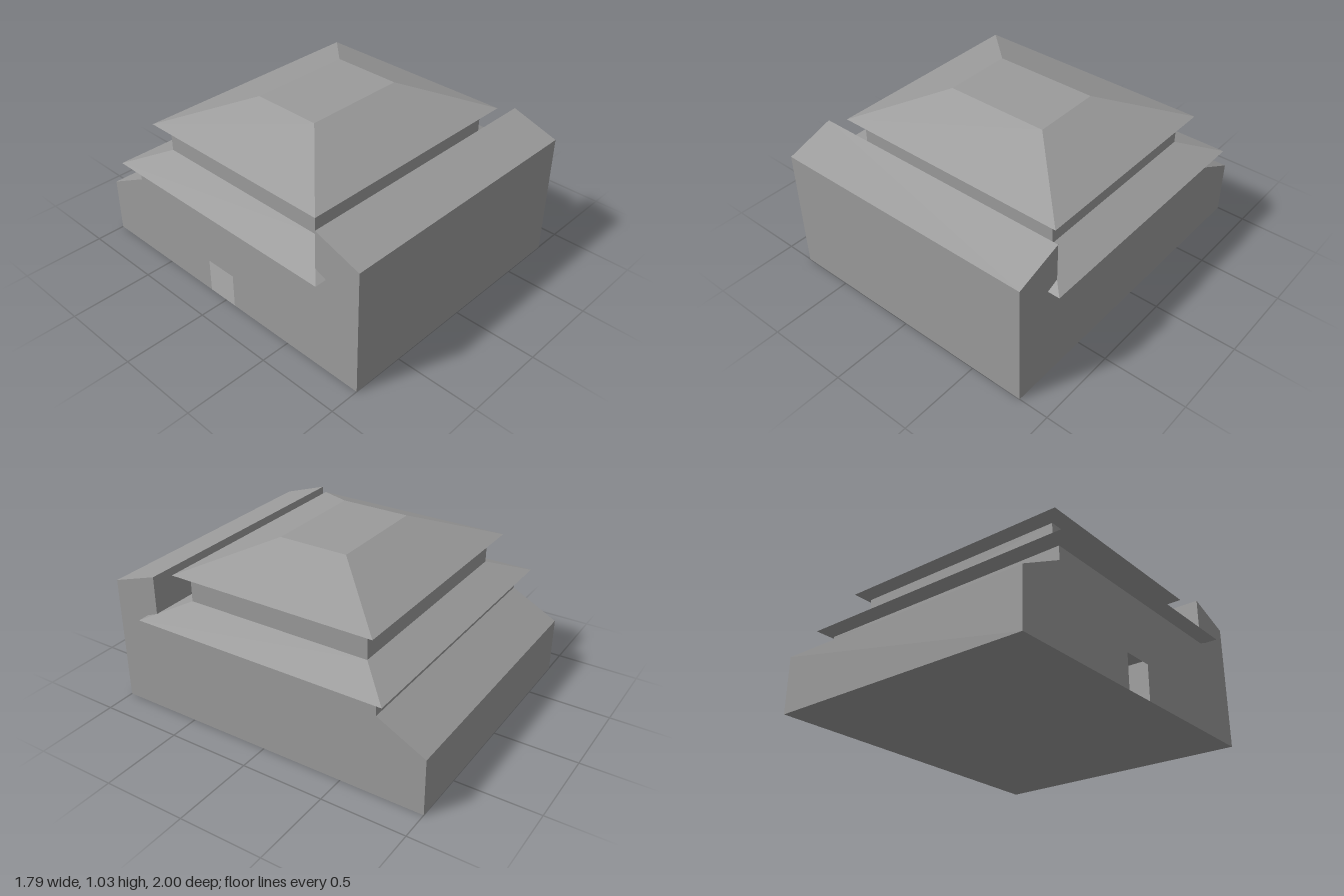
import * as THREE from 'three';

const material = new THREE.MeshStandardMaterial({ color: 0x9b9b9b, flatShading: true, side: THREE.DoubleSide });

function part(name, geometry) {
  const mesh = new THREE.Mesh(geometry, material);
  mesh.name = name;
  return mesh;
}

// Joins quads [a, b, c, d] (counter-clockwise from outside) into one faceted geometry
function fromQuads(quads) {
  const points = quads.flatMap(([a, b, c, d]) => [a, b, c, a, c, d]).flat();
  const geometry = new THREE.BufferGeometry();
  geometry.setAttribute('position', new THREE.Float32BufferAttribute(points, 3));
  geometry.computeVertexNormals();
  return geometry;
}

// Skin over stacked rectangles, each [half width, half depth, height], bottom to top
function stackedRectangles(rings, capTop = false) {
  const loops = rings.map(([x, z, y]) => [[x, y, z], [x, y, -z], [-x, y, -z], [-x, y, z]]);
  const quads = [];
  for (let i = 0; i < loops.length - 1; i++) {
    for (let k = 0; k < 4; k++) {
      const n = (k + 1) % 4;
      quads.push([loops[i][k], loops[i][n], loops[i + 1][n], loops[i + 1][k]]);
    }
  }
  if (capTop) quads.push(loops.at(-1));
  return fromQuads(quads);
}

export function createModel() {
  const group = new THREE.Group();
  group.name = 'building';
  const halfWidth = 0.822;

  // Side profile of the hollow hall as [z, y]: parapet in front, lean-to slope behind
  const profile = [
    [1, 0], [-1, 0], [-1, 0.34], [-0.713, 0.49],
    [-0.713, 0.572], [0.713, 0.572], [0.713, 0.86], [1, 0.765],
  ];

  // Floor, front, back and stepped top run across the full width
  const shell = profile.map(([z, y], i) => {
    const [z2, y2] = profile[(i + 1) % profile.length];
    return [[-halfWidth, y, z], [-halfWidth, y2, z2], [halfWidth, y2, z2], [halfWidth, y, z]];
  });
  group.add(part('hallShell', fromQuads(shell)));

  // Left wall on +x, drawn with shape x running along -z
  const leftWall = part('leftWall', new THREE.ShapeGeometry(
    new THREE.Shape(profile.map(([z, y]) => new THREE.Vector2(-z, y)))));
  leftWall.rotation.y = Math.PI / 2;
  leftWall.position.x = halfWidth;

  // Right wall on -x, with a doorway notched into its bottom edge
  const doorway = [[0.07, 0], [0.07, 0.21], [-0.13, 0.21], [-0.13, 0]];
  const notched = [profile[0], ...doorway, ...profile.slice(1)];
  const rightWall = part('rightWallWithDoorway', new THREE.ShapeGeometry(
    new THREE.Shape(notched.map(([z, y]) => new THREE.Vector2(z, y)))));
  rightWall.rotation.y = -Math.PI / 2;
  rightWall.position.x = -halfWidth;
  group.add(leftWall, rightWall);

  // Two tiers of flared roof with a recessed storey between them
  group.add(part('lowerRoof', stackedRectangles([
    [halfWidth, 0.713, 0.572], [0.893, 0.785, 0.603], [0.68, 0.572, 0.69],
  ])));
  group.add(part('upperStorey', stackedRectangles([
    [0.68, 0.572, 0.69], [0.68, 0.572, 0.83],
  ])));
  group.add(part('upperRoof', stackedRectangles([
    [0.68, 0.572, 0.83], [0.75, 0.642, 0.86], [0.322, 0.214, 1.034],
  ], true)));

  return group;
}
